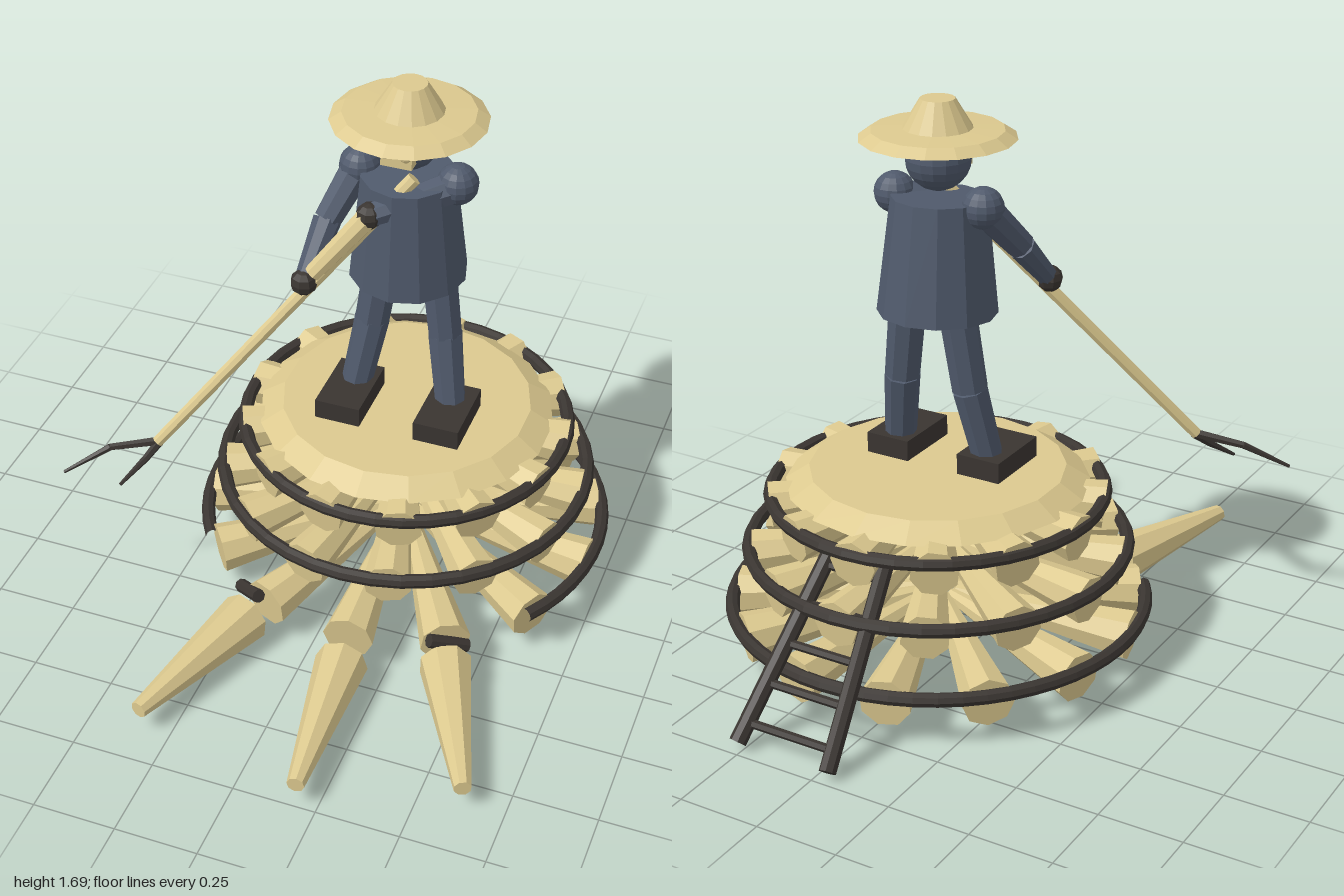
import * as THREE from 'three';

const mat = (name, color) => {
  const m = new THREE.MeshStandardMaterial({ color, flatShading: true });
  m.name = name;
  return m;
};
const V = (x, y, z) => new THREE.Vector3(x, y, z);

export function createModel() {
  const straw = mat('straw', 0xdcc98f);
  const cloth = mat('blue cloth', 0x505a6c);
  const dark = mat('dark wood', 0x3a3531);
  const CX = 0.105, CZ = -0.16;
  const root = new THREE.Group();
  root.name = 'farmerOnHaystack';

  const group = (name) => {
    const g = new THREE.Group();
    g.name = name;
    root.add(g);
    return g;
  };
  const add = (parent, name, geo, m, x = 0, y = 0, z = 0) => {
    const mesh = new THREE.Mesh(geo, m);
    mesh.name = name;
    mesh.position.set(x, y, z);
    parent.add(mesh);
    return mesh;
  };
  // Tapered rod from a to b
  const rod = (parent, name, a, b, ra, rb, m, sides = 8) => {
    const d = b.clone().sub(a);
    const mid = a.clone().add(b).multiplyScalar(0.5);
    const mesh = add(parent, name, new THREE.CylinderGeometry(rb, ra, d.length(), sides), m, mid.x, mid.y, mid.z);
    mesh.quaternion.setFromUnitVectors(V(0, 1, 0), d.normalize());
    return mesh;
  };

  // Three tiers of drooping straw bundles, each tied by a rope
  const tiers = [
    { y: 0.135, R: 0.605, r: 0.077, turn: 0.055, ropeY: 0.165, ropeR: 0.622, arc: 250 },
    { y: 0.32, R: 0.55, r: 0.073, turn: 0.24, ropeY: 0.35, ropeR: 0.565, arc: 360 },
    { y: 0.49, R: 0.495, r: 0.072, turn: 0.29, ropeY: 0.52, ropeR: 0.495, arc: 360 },
  ];
  const stack = group('haystack');
  for (const t of tiers) {
    for (let i = 0; i < 13; i++) {
      const a = t.turn + (i / 13) * Math.PI * 2;
      const s = Math.sin(a), c = Math.cos(a);
      rod(stack, 'strawBundle', V(CX + s * 0.055, t.y + 0.045, CZ + c * 0.055),
        V(CX + s * t.R, t.y, CZ + c * t.R), 0.02, t.r, straw);
    }
    const arc = THREE.MathUtils.degToRad(t.arc);
    const geo = new THREE.TorusGeometry(t.ropeR, 0.021, 8, 40, arc);
    geo.rotateZ(Math.PI / 2 - arc / 2); // arc centred on the back
    geo.rotateX(-Math.PI / 2);
    add(stack, 'tierRope', geo, dark, CX, t.ropeY, CZ);
  }
  add(stack, 'topCap', new THREE.CylinderGeometry(0.38, 0.45, 0.045, 18), straw, CX, 0.572, CZ);

  // Snapped rope ends and fallen bundles at the front
  rod(stack, 'ropeScrap', V(-0.25, 0.125, 0.335), V(-0.16, 0.175, 0.41), 0.021, 0.021, dark);
  rod(stack, 'ropeScrap', V(0.38, 0.175, 0.41), V(0.475, 0.12, 0.335), 0.021, 0.021, dark);
  const fallen = [[-0.2, 0.42, -0.34, 0.89], [0.14, 0.5, 0.19, 0.995], [0.43, 0.4, 0.63, 0.845]];
  for (const [x0, z0, x1, z1] of fallen)
    rod(stack, 'fallenBundle', V(x0, 0.088, z0), V(x1, 0.092, z1), 0.08, 0.026, straw);

  // Ladder leaning on the back
  const ladder = group('ladder');
  const railAt = (side, y) => {
    const t = (0.48 - y) / 0.44;
    return V(0.11 + side * (0.09 + 0.06 * t), y, -0.575 - 0.4 * t);
  };
  for (const s of [-1, 1]) rod(ladder, 'rail', railAt(s, 0.48), railAt(s, 0.035), 0.025, 0.025, dark);
  for (let i = 0; i < 5; i++) {
    const y = 0.08 + i * 0.09;
    rod(ladder, 'rung', railAt(-1, y), railAt(1, y), 0.013, 0.013, dark, 6);
  }

  // Farmer: coat, legs, feet and shoulders
  const farmer = group('farmer');
  rod(farmer, 'coat', V(CX, 1.075, -0.152), V(CX, 1.415, -0.137), 0.175, 0.138, cloth, 12);
  for (const s of [-1, 1]) {
    const hip = V(CX + s * 0.08, 1.12, -0.18);
    const knee = V(CX + s * 0.115, 0.86, -0.165);
    const ankle = V(CX + s * 0.15, 0.64, -0.125);
    rod(farmer, 'thigh', hip, knee, 0.056, 0.053, cloth);
    rod(farmer, 'shin', knee, ankle, 0.053, 0.047, cloth);
    add(farmer, 'foot', new THREE.BoxGeometry(0.14, 0.065, 0.225), dark, CX + s * 0.155, 0.625, -0.08);
    add(farmer, 'shoulder', new THREE.SphereGeometry(0.061, 14, 10), cloth, CX + s * 0.146, 1.405, -0.14);
  }

  // Arms reaching to the fork handle
  const handA = V(-0.122, 1.135, 0.1), handB = V(0.04, 1.338, 0.003);
  const elbow = V(-0.1, 1.27, -0.03);
  rod(farmer, 'rightUpperArm', V(-0.045, 1.4, -0.14), elbow, 0.05, 0.042, cloth);
  rod(farmer, 'rightForearm', elbow, handA, 0.042, 0.03, cloth);
  rod(farmer, 'leftArm', V(0.255, 1.4, -0.14), handB, 0.05, 0.035, cloth);
  for (const h of [handA, handB])
    add(farmer, 'hand', new THREE.SphereGeometry(0.04, 8, 6), dark, h.x, h.y, h.z);

  // Head, face and straw hat
  const head = group('head');
  add(head, 'skull', new THREE.SphereGeometry(0.095, 16, 12), cloth, CX, 1.53, -0.14);
  add(head, 'facePlate', new THREE.BoxGeometry(0.092, 0.072, 0.05), straw, CX, 1.525, -0.055);
  for (const s of [-1, 1])
    add(head, 'eye', new THREE.SphereGeometry(0.019, 8, 6), straw, CX + s * 0.031, 1.537, -0.023);
  const hatProfile = [[0, 1.605], [0.19, 1.592], [0.226, 1.588], [0.19, 1.612], [0.1, 1.617], [0.05, 1.7], [0, 1.7]]
    .map(([r, y]) => new THREE.Vector2(r, y));
  add(head, 'hat', new THREE.LatheGeometry(hatProfile, 16), straw, CX, 0, -0.14);

  // Two-pronged fork with a thicker grip between the hands
  const fork = group('fork');
  const neck = V(-0.495, 0.63, 0.345);
  rod(fork, 'handle', V(0.145, 1.44, -0.07), neck, 0.022, 0.018, straw);
  rod(fork, 'grip', handB, V(-0.1, 1.162, 0.09), 0.034, 0.027, straw);
  const prongs = [
    [V(-0.485, 0.633, 0.34), V(-0.63, 0.605, 0.39), V(-0.75, 0.533, 0.465)],
    [V(-0.49, 0.63, 0.34), V(-0.518, 0.59, 0.385), V(-0.57, 0.533, 0.46)],
  ];
  for (const [a, b, c] of prongs) {
    rod(fork, 'prongBase', a, b, 0.014, 0.011, dark, 6);
    rod(fork, 'prongTip', b, c, 0.011, 0.005, dark, 6);
  }
  return root;
}
